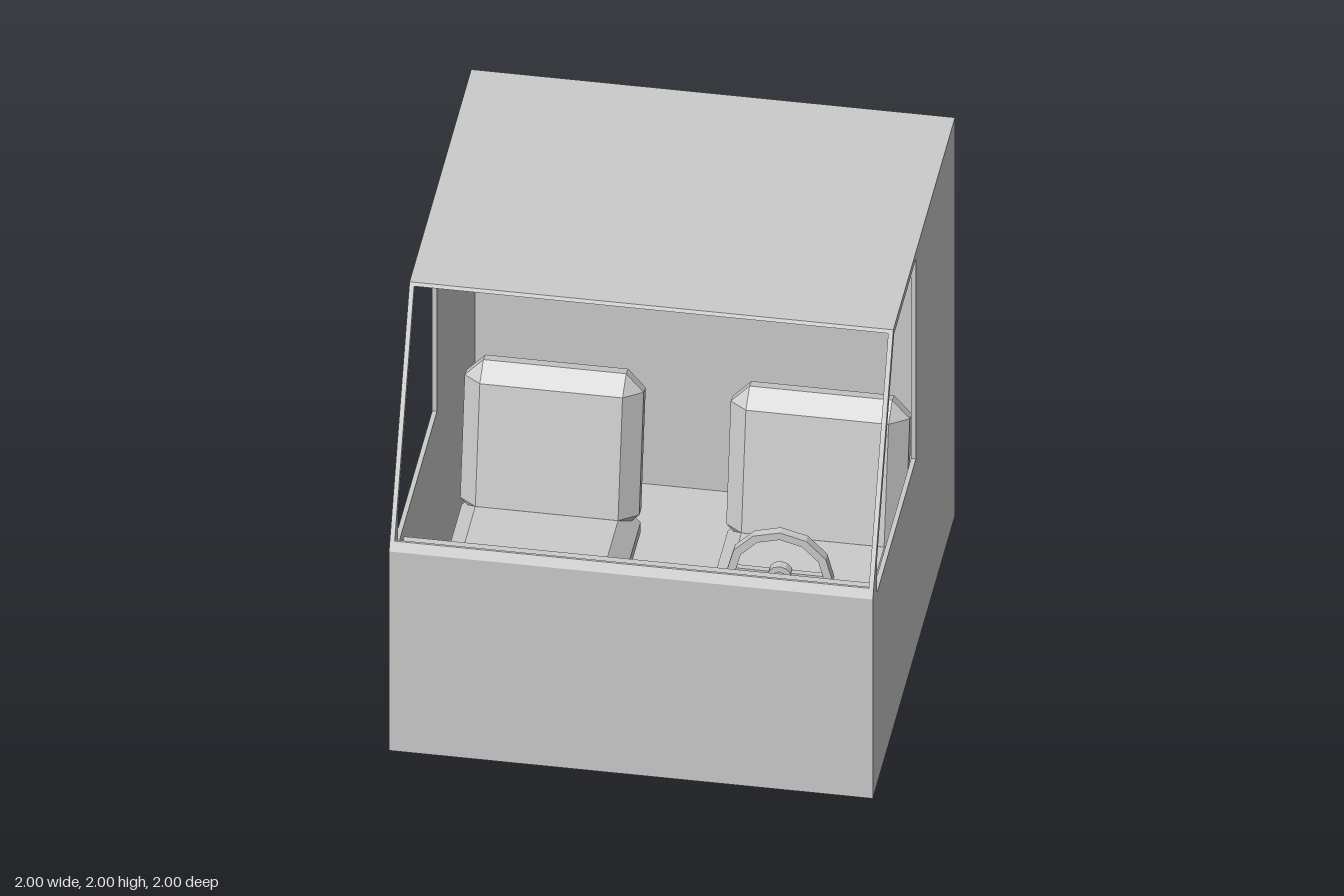
import * as THREE from 'three';
import { ConvexGeometry } from 'three/addons/geometries/ConvexGeometry.js';

const material = new THREE.MeshStandardMaterial({ color: 0xcccccc, flatShading: true });

function mesh(name, geometry, x = 0, y = 0, z = 0) {
  const m = new THREE.Mesh(geometry, material);
  m.name = name;
  m.position.set(x, y, z);
  return m;
}

const points = (list) => list.map(([a, b]) => new THREE.Vector2(a, b));

// Side profile given as [z, y] points, extruded across x and centred on x = 0
function acrossX(profile, width, hole) {
  const shape = new THREE.Shape(points(profile));
  if (hole) shape.holes.push(new THREE.Path(points(hole)));
  const g = new THREE.ExtrudeGeometry(shape, { depth: width, bevelEnabled: false });
  return g.translate(0, 0, -width / 2).rotateY(-Math.PI / 2);
}

// Box with every edge cut at 45 degrees
function chamferedBox(width, height, depth, c) {
  const [w, h, d] = [width / 2, height / 2, depth / 2];
  const pts = [];
  for (const sx of [-1, 1]) for (const sy of [-1, 1]) for (const sz of [-1, 1]) {
    for (const [x, y, z] of [[w, h - c, d - c], [w - c, h, d - c], [w - c, h - c, d]]) {
      pts.push(new THREE.Vector3(sx * x, sy * y, sz * z));
    }
  }
  return new ConvexGeometry(pts);
}

function createSeat(name, x) {
  const seat = new THREE.Group();
  seat.name = name;
  seat.position.x = x;
  const back = mesh('seatBack', chamferedBox(0.74, 0.7, 0.2, 0.075), 0, 0.65, -0.34);
  back.rotation.x = -0.2;
  seat.add(back);
  seat.add(mesh('seatCushion', chamferedBox(0.74, 0.2, 0.7, 0.075), 0, 0.3, -0.02));
  seat.add(mesh('seatBase', new THREE.BoxGeometry(0.56, 0.2, 0.5), 0, 0.12, -0.02));
  return seat;
}

function createSteeringWheel() {
  const wheel = new THREE.Group();
  wheel.name = 'steeringWheel';
  wheel.position.set(0.55, 0.79, 0.6);
  // Twelve-sided flat rim
  const ring = (r) => Array.from({ length: 12 }, (_, i) =>
    [r * Math.cos(i * Math.PI / 6), r * Math.sin(i * Math.PI / 6)]);
  const shape = new THREE.Shape(points(ring(0.22)));
  shape.holes.push(new THREE.Path(points(ring(0.185))));
  const rim = new THREE.ExtrudeGeometry(shape, { depth: 0.04, bevelEnabled: false });
  wheel.add(mesh('rim', rim.translate(0, 0, -0.02)));
  // Spokes, hub and column
  wheel.add(mesh('crossSpoke', new THREE.BoxGeometry(0.38, 0.035, 0.025)));
  wheel.add(mesh('lowerSpoke', new THREE.BoxGeometry(0.035, 0.19, 0.025), 0, -0.095, 0));
  wheel.add(mesh('hub', new THREE.CylinderGeometry(0.05, 0.05, 0.04, 12).rotateX(Math.PI / 2)));
  wheel.add(mesh('column', new THREE.CylinderGeometry(0.025, 0.025, 0.12, 8).rotateX(Math.PI / 2), 0, 0, 0.06));
  return wheel;
}

export function createModel() {
  const cab = new THREE.Group();
  cab.name = 'cab';

  // Floor, back, roof and front in one bent shell, open at the windscreen
  cab.add(mesh('shell', acrossX([
    [0.98, 1.04], [0.97, 1.04], [0.97, 0.02], [-0.98, 0.02], [-0.98, 1.985], [0.5075, 1.985],
    [0.5, 2], [-1, 2], [-1, 0], [1, 0], [1, 1],
  ], 1.96)));

  // Side walls with window openings
  const outline = [[-1, 0], [1, 0], [1, 1], [0.5, 2], [-1, 2]];
  const opening = [[-0.05, 0.96], [-0.05, 1.965], [0.48, 1.965], [0.9, 1.12], [0.9, 0.96]];
  for (const s of [-1, 1]) {
    cab.add(mesh(s > 0 ? 'leftWall' : 'rightWall', acrossX(outline, 0.02, opening), s * 0.99));
  }

  // Dashboard with a bevelled rear edge
  cab.add(mesh('dashboard', acrossX([
    [0.97, 0.9], [0.75, 0.9], [0.7, 0.85], [0.65, 0.7], [0.75, 0.6], [0.97, 0.6],
  ], 1.96)));

  cab.add(createSeat('driverSeat', 0.55), createSeat('passengerSeat', -0.55));
  cab.add(createSteeringWheel());
  return cab;
}
